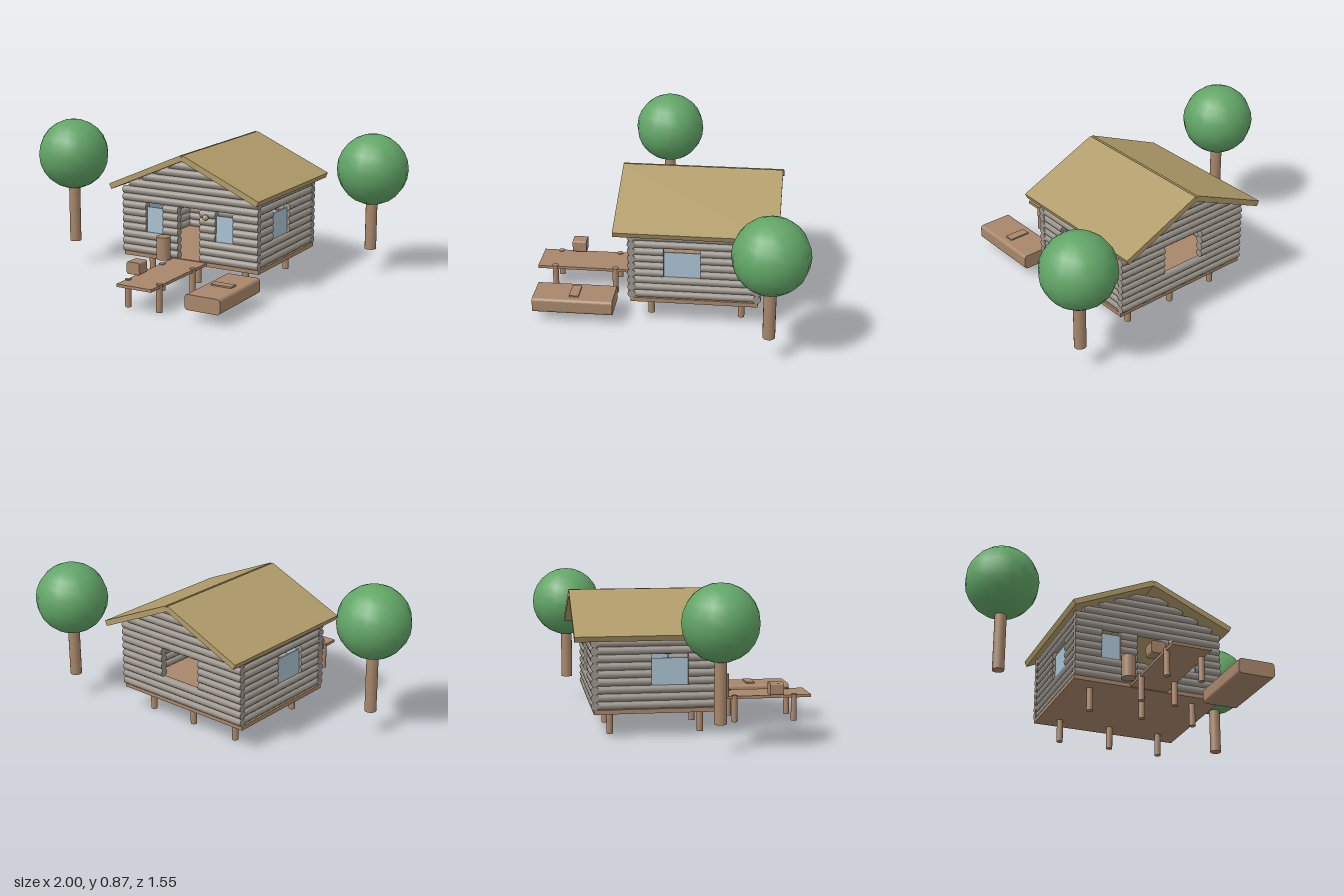
import * as THREE from 'three';

const mat = (name, color) => {
  const m = new THREE.MeshStandardMaterial({ color });
  m.name = name;
  return m;
};

export function createModel() {
  const model = new THREE.Group();
  model.name = 'stiltCabin';
  const grey = mat('weatheredLog', 0x9b948c);
  const wood = mat('brownWood', 0xa8866a);
  const thatch = mat('strawRoof', 0xb09b69);
  const leaf = mat('leafGreen', 0x62a567);
  const glass = mat('paleGlass', 0xa9c0d0);

  const add = (parent, name, geometry, material, x, y, z) => {
    const mesh = new THREE.Mesh(geometry, material);
    mesh.name = name;
    mesh.position.set(x, y, z);
    parent.add(mesh);
    return mesh;
  };
  const box = (parent, name, w, h, d, m, x, y, z) =>
    add(parent, name, new THREE.BoxGeometry(w, h, d), m, x, y, z);
  const post = (parent, name, r, y0, y1, x, z, sides = 14) =>
    add(parent, name, new THREE.CylinderGeometry(r, r, y1 - y0, sides), wood, x, (y0 + y1) / 2, z);

  // Block with rounded long edges, extruded along z
  const roundedBlock = (parent, name, w, h, d, r, x, y, z) => {
    const s = new THREE.Shape();
    const a = w / 2 - r, b = h / 2 - r;
    s.absarc(a, b, r, 0, Math.PI / 2);
    s.absarc(-a, b, r, Math.PI / 2, Math.PI);
    s.absarc(-a, -b, r, Math.PI, Math.PI * 1.5);
    s.absarc(a, -b, r, Math.PI * 1.5, Math.PI * 2);
    const g = new THREE.ExtrudeGeometry(s, { depth: d, bevelEnabled: false, curveSegments: 5 });
    g.translate(0, 0, -d / 2);
    return add(parent, name, g, wood, x, y, z);
  };

  // Cabin: log walls stacked in rows, with openings left between segments
  const cabin = new THREE.Group();
  cabin.name = 'cabin';
  model.add(cabin);
  const CX = 0.033, PITCH = 0.0425, BASE = 0.153, R = 0.0225;
  const FRONT = 0.19, BACK = -0.492, HALF = 0.432, SIDE = HALF - R;
  const rowY = (i) => BASE + PITCH * (i + 0.5);

  const log = (name, alongX, from, to, fixed, row) => {
    const g = new THREE.CylinderGeometry(R, R, to - from, 12);
    if (alongX) g.rotateZ(Math.PI / 2);
    else g.rotateX(Math.PI / 2);
    const mid = (from + to) / 2;
    add(cabin, name, g, grey, alongX ? CX + mid : CX + fixed, rowY(row), alongX ? fixed : mid);
  };
  // ends: pairs of start and finish along the wall
  const logRow = (name, alongX, ends, fixed, row) => {
    for (let k = 0; k < ends.length; k += 2) log(name, alongX, ends[k], ends[k + 1], fixed, row);
  };

  for (let i = 0; i < 9; i++) {
    const open = i >= 3 && i < 7;
    const frontEnds = open
      ? [-HALF, -0.278, -0.168, -0.07, 0.07, 0.168, 0.278, HALF]
      : i < 3 ? [-HALF, -0.07, 0.07, HALF] : [-HALF, HALF];
    logRow('frontWallLog', true, frontEnds, FRONT, i);
    logRow('backWallLog', true, open ? [-HALF, -0.133, 0.133, HALF] : [-HALF, HALF], BACK, i);
    for (const s of [-1, 1]) {
      logRow('sideWallLog', false, open ? [BACK, -0.185, 0.015, FRONT] : [BACK, FRONT], s * SIDE, i);
    }
  }
  // Stepped gable logs
  [0.385, 0.3, 0.207, 0.118].forEach((half, k) => {
    for (const z of [FRONT, BACK]) log('gableLog', true, -half, half, z, 9 + k);
  });

  // Window panes, a little shorter than their openings
  for (const s of [-1, 1]) {
    box(cabin, 'frontWindow', 0.112, 0.147, 0.008, glass, CX + s * 0.223, 0.354, FRONT);
    box(cabin, 'sideWindow', 0.008, 0.147, 0.198, glass, CX + s * SIDE, 0.354, -0.085);
  }

  // Floor and stilts
  box(cabin, 'floor', HALF * 2, 0.024, FRONT - BACK + 0.012, wood, CX, 0.142, (FRONT + BACK) / 2);
  for (const x of [-0.272, 0.032, 0.336]) {
    for (const z of [0.097, -0.403]) post(cabin, 'stilt', 0.018, 0, 0.135, x, z);
  }

  // Roof: two tilted slabs meeting at the ridge
  const ANGLE = 0.416, LENGTH = 0.51, THICK = 0.032;
  for (const s of [-1, 1]) {
    const c = Math.cos(ANGLE), n = Math.sin(ANGLE);
    const dx = 0.006 + c * LENGTH / 2 - n * THICK / 2;
    const y = 0.763 - n * LENGTH / 2 - c * THICK / 2;
    const slab = box(cabin, 'roofSlab', LENGTH, THICK, 0.885, thatch, CX + s * dx, y, -0.158);
    slab.rotation.z = -s * ANGLE;
  }

  // Lantern beside the door
  add(cabin, 'lantern', new THREE.SphereGeometry(0.017, 14, 10), thatch, 0.156, 0.42, 0.236);

  // Dock with posts poking through the deck
  const dock = new THREE.Group();
  dock.name = 'dock';
  model.add(dock);
  box(dock, 'dockDeck', 0.215, 0.016, 0.585, wood, 0.033, 0.142, 0.4825);
  for (const x of [-0.065, 0.129]) {
    for (const z of [0.33, 0.676]) post(dock, 'dockPost', 0.017, 0, 0.154, x, z);
  }

  // Barrel and crate
  post(model, 'barrel', 0.04, 0.156, 0.285, -0.105, 0.25, 18);
  roundedBlock(model, 'crate', 0.08, 0.068, 0.08, 0.01, -0.079, 0.191, 0.566);

  // Boat with a seat plank
  roundedBlock(model, 'boatHull', 0.208, 0.084, 0.443, 0.018, 0.42, 0.102, 0.512);
  box(model, 'boatSeat', 0.122, 0.012, 0.052, wood, 0.42, 0.146, 0.508);

  // Trees
  for (const [x, y, z] of [[-0.797, 0.667, 0.118], [0.797, 0.613, -0.572]]) {
    const tree = new THREE.Group();
    tree.name = 'tree';
    model.add(tree);
    post(tree, 'trunk', 0.033, 0.144, y - 0.1, x, z, 16);
    add(tree, 'crown', new THREE.SphereGeometry(0.204, 16, 12), leaf, x, y, z);
  }
  return model;
}
